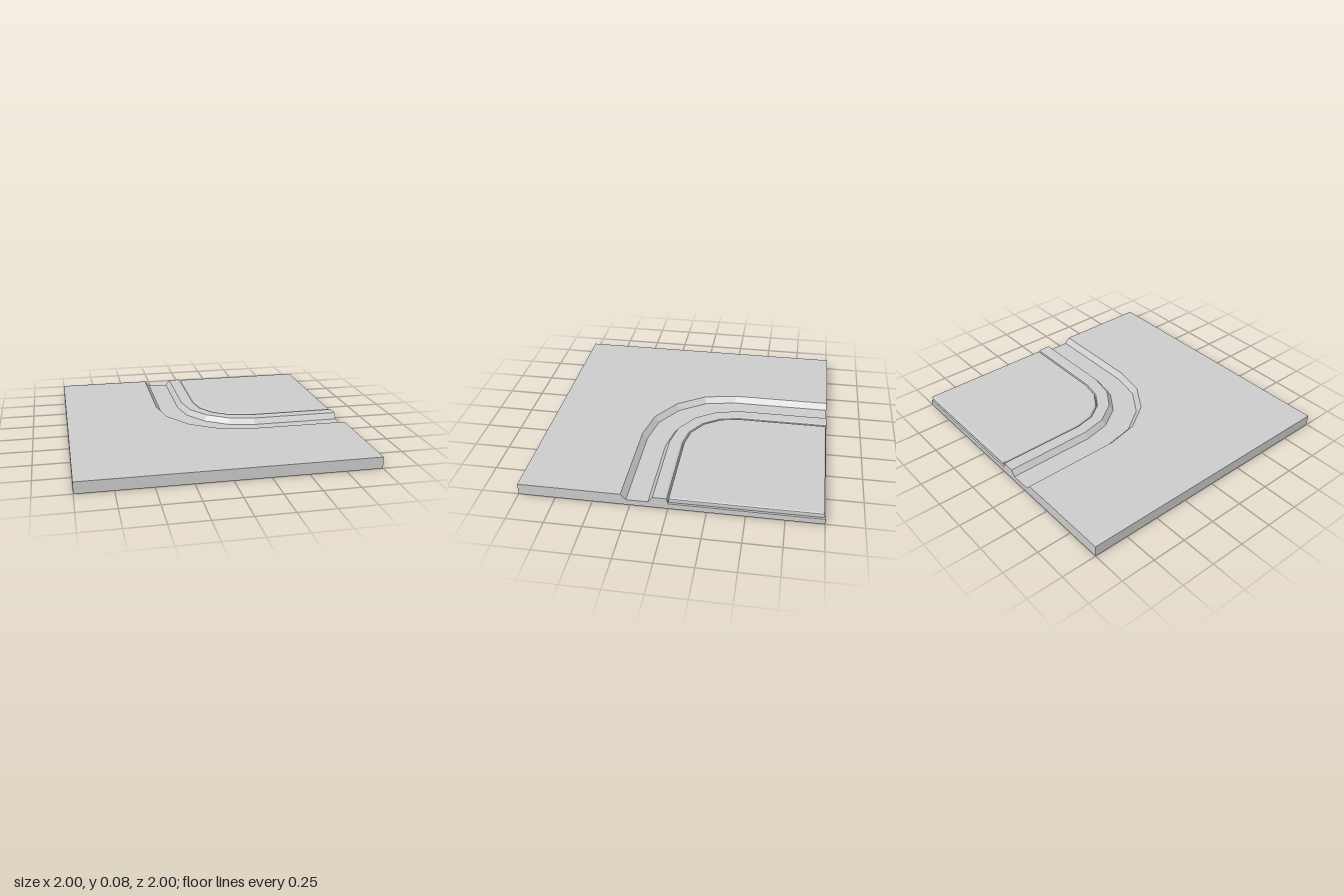
import * as THREE from 'three';

const material = new THREE.MeshStandardMaterial({ color: 0xcccccc, flatShading: true });
const ARC_STEPS = 4;

// Closed profile of the tile: d = distance outside the inset corner, c = arc centre, y = height.
const PROFILE = [
  { d: 1, c: -1, y: 0 },
  { d: 1, c: -1, y: 0.08 },
  { d: 0.31, c: 0.3, y: 0.08 },     // outer rim of the channel
  { d: 0.275, c: 0.3, y: 0.04 },
  { d: 0.13, c: 0.37, y: 0.04 },    // channel floor
  { d: 0.1, c: 0.37, y: 0.08 },
  { d: 0.02, c: 0.36, y: 0.08 },    // kerb with a rounded inner edge
  { d: 0.008, c: 0.36, y: 0.075 },
  { d: 0.003, c: 0.36, y: 0.062 },
  { d: 0.003, c: 0.36, y: 0.04 },
  { d: -1, c: 1, y: 0.04 },         // floor under the panel
  { d: -1, c: 1, y: 0 },
];

// Points of one profile line: straight leg, quarter bend, straight leg.
function bendLine({ d, c, y }) {
  const r = d + c;
  const points = [new THREE.Vector3(-d, y, -1)];
  for (let i = 0; i <= ARC_STEPS; i++) {
    const a = (i / ARC_STEPS) * Math.PI / 2;
    points.push(new THREE.Vector3(c - r * Math.cos(a), y, -c + r * Math.sin(a)));
  }
  points.push(new THREE.Vector3(1, y, d));
  return points;
}

// Skin between successive profile lines, leaving out collapsed triangles.
function loftGeometry(lines) {
  const corners = [];
  const tri = new THREE.Triangle();
  const add = (a, b, c) => {
    if (tri.set(a, b, c).getArea() > 1e-7) corners.push(a, b, c);
  };
  lines.forEach((line, i) => {
    const next = lines[(i + 1) % lines.length];
    for (let j = 0; j < line.length - 1; j++) {
      add(line[j], line[j + 1], next[j + 1]);
      add(line[j], next[j + 1], next[j]);
    }
  });
  const geometry = new THREE.BufferGeometry().setFromPoints(corners);
  geometry.computeVertexNormals();
  return geometry;
}

// Flat end wall showing the profile.
function endWall(sign) {
  const shape = new THREE.Shape(PROFILE.map(p => new THREE.Vector2(sign * p.d, p.y)));
  return new THREE.ShapeGeometry(shape);
}

// Raised panel with one bent corner and rounded edges.
function panelGeometry() {
  const bevel = 0.012, lo = 0.003 + bevel, hi = 0.993 - bevel, c = 0.36;
  const r = c - lo;
  const shape = new THREE.Shape();
  shape.moveTo(hi, lo);
  shape.lineTo(hi, hi);
  shape.lineTo(lo, hi);
  for (let i = 0; i <= ARC_STEPS; i++) {
    const a = (i / ARC_STEPS) * Math.PI / 2;
    shape.lineTo(c - r * Math.cos(a), c - r * Math.sin(a));
  }
  shape.closePath();
  const geometry = new THREE.ExtrudeGeometry(shape, {
    depth: 0.04 - 2 * bevel, bevelEnabled: true,
    bevelSize: bevel, bevelThickness: bevel, bevelSegments: 3,
  });
  return geometry.rotateX(-Math.PI / 2).translate(0, 0.04 + bevel, 0);
}

export function createModel() {
  const group = new THREE.Group();
  group.name = 'floorTile';
  const addPart = (name, geometry) => {
    const mesh = new THREE.Mesh(geometry, material);
    mesh.name = name;
    group.add(mesh);
  };

  addPart('channelledBase', loftGeometry(PROFILE.map(bendLine)));
  addPart('leftEndWall', endWall(-1).rotateY(Math.PI / 2).translate(1, 0, 0));
  addPart('backEndWall', endWall(1).rotateY(Math.PI).translate(0, 0, -1));
  addPart('cornerPanel', panelGeometry());
  return group;
}
